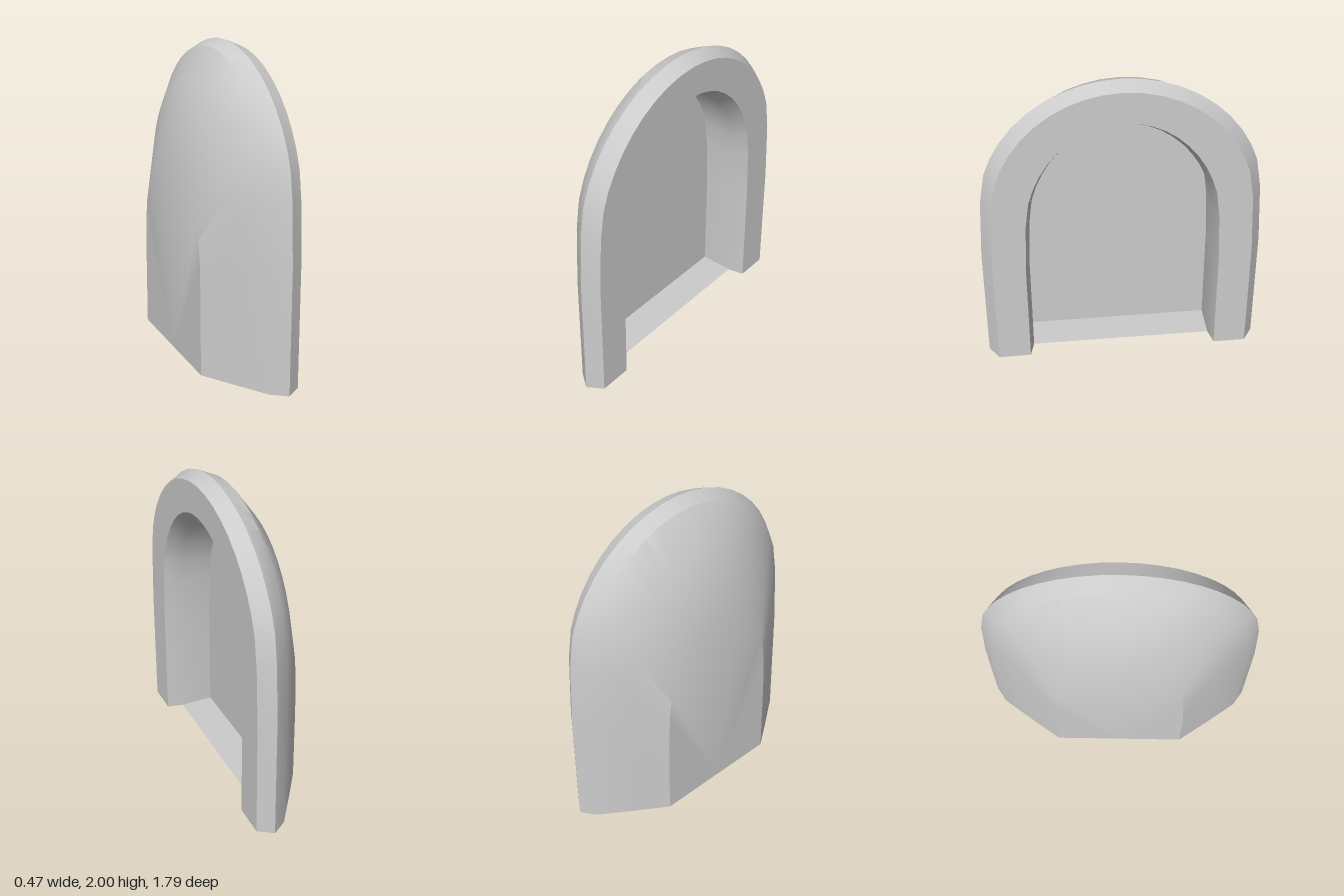
import * as THREE from 'three';
import { toCreasedNormals } from 'three/addons/utils/BufferGeometryUtils.js';

const material = new THREE.MeshStandardMaterial({ color: 0xcccccc, side: THREE.DoubleSide });

// Unit arch (half width 1, height 1), running from the +z foot over the top to the -z foot.
function archProfile() {
  const half = [[1, 0], [0.992, 0.4], [0.966, 0.6]];
  const radius = 0.874, centre = 1.126, steps = 9;
  const start = Math.asin((1.4 - centre) / radius);
  for (let i = 0; i <= steps; i++) {
    const a = start + (Math.PI / 2 - start) * i / steps;
    half.push([radius * Math.cos(a) / 0.895, (centre + radius * Math.sin(a)) / 2]);
  }
  const mirrored = half.slice(0, -1).reverse().map(([z, y]) => [-z, y]);
  return [...half, ...mirrored];
}

// Skin a series of arches, each given as [x, half width, height].
function loftArches(sections) {
  const profile = archProfile(), n = profile.length;
  const positions = [], index = [];
  for (const [x, w, h] of sections)
    for (const [z, y] of profile) positions.push(x, y * h, z * w);
  for (let i = 0; i < sections.length - 1; i++)
    for (let j = 0; j < n - 1; j++) {
      const a = i * n + j, b = a + n;
      if (sections[i][1] > 0) index.push(a, b, a + 1);
      if (sections[i + 1][1] > 0) index.push(b, b + 1, a + 1);
    }
  const geometry = new THREE.BufferGeometry();
  geometry.setAttribute('position', new THREE.Float32BufferAttribute(positions, 3));
  geometry.setIndex(index);
  return toCreasedNormals(geometry, Math.PI / 6);
}

export function createModel() {
  const group = new THREE.Group();
  const add = (name, geometry) => {
    const mesh = new THREE.Mesh(geometry, material);
    mesh.name = name;
    group.add(mesh);
  };

  const shell = [
    [-0.235, 0.435, 1.27], [-0.105, 0.625, 1.76], [0.04, 0.83, 1.96],
    [0.135, 0.895, 2], [0.23, 0.83, 1.96],
  ];
  const opening = [0.23, 0.62, 1.76];
  const lip = [0.125, 0.595, 1.7];
  const recessEnd = [-0.095, 0.595, 1.7];

  // Flat back and stepped outer flank
  add('outerShell', loftArches([[-0.235, 0, 0], ...shell]));
  // Flat face around the opening
  add('frontRim', loftArches([shell[4], opening]));
  // Bevelled mouth, straight inner wall and flat end wall
  add('recess', loftArches([opening, lip, recessEnd, [recessEnd[0], 0, 0]]));

  // Thin bottom plate, notched between the feet
  const side = [...shell, opening, lip];
  const outline = [
    ...side.map(([x, w]) => new THREE.Vector2(x, w)),
    ...side.slice().reverse().map(([x, w]) => new THREE.Vector2(x, -w)),
  ];
  const base = new THREE.ShapeGeometry(new THREE.Shape(outline));
  base.rotateX(Math.PI / 2);
  add('bottomPlate', base);

  return group;
}
